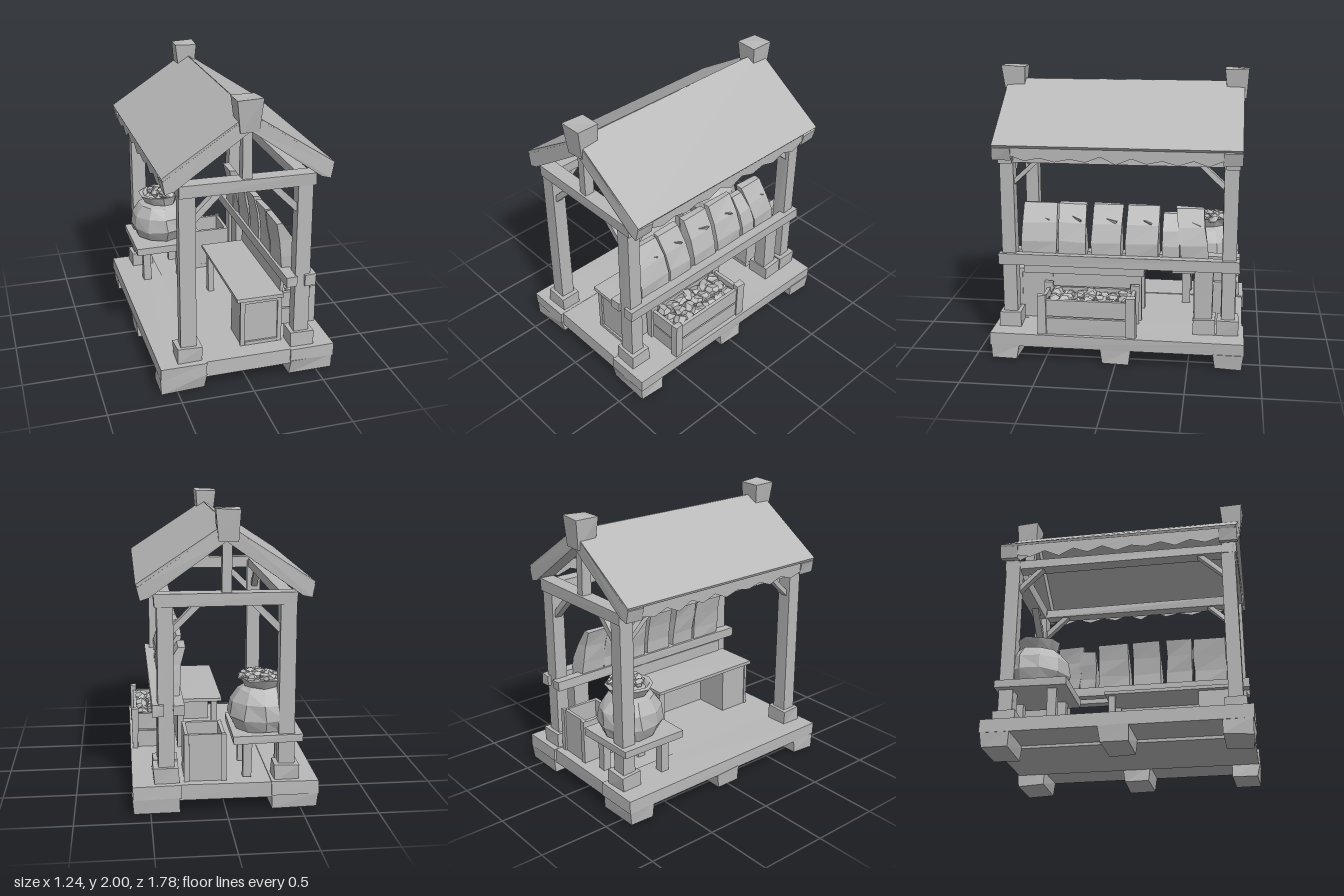
import * as THREE from 'three';

export function createModel() {
  const root = new THREE.Group();
  root.name = 'marketStall';
  const grey = new THREE.MeshStandardMaterial({ color: 0xb8b8b8 });
  grey.name = 'plainGrey';
  const greySheet = grey.clone();
  greySheet.name = 'plainGreySheet';
  greySheet.side = THREE.DoubleSide;

  let seed = 7;
  const rnd = () => (seed = (seed * 16807) % 2147483647) / 2147483647;

  // Flat-faced mesh from any geometry
  function add(name, geo, mat = grey) {
    const g = geo.index ? geo.toNonIndexed() : geo;
    g.computeVertexNormals();
    const m = new THREE.Mesh(g, mat);
    m.name = name;
    root.add(m);
    return m;
  }
  // Moves corners that share a place by the same small amount, for a hewn look
  function roughen(geo, amount) {
    const p = geo.attributes.position, moved = new Map();
    for (let i = 0; i < p.count; i++) {
      const k = [p.getX(i), p.getY(i), p.getZ(i)].map(v => v.toFixed(4)).join();
      if (!moved.has(k)) moved.set(k, [0, 0, 0].map(() => (rnd() - 0.5) * 2 * amount));
      const d = moved.get(k);
      p.setXYZ(i, p.getX(i) + d[0], p.getY(i) + d[1], p.getZ(i) + d[2]);
    }
    return geo;
  }
  // Box by its limits
  function box(name, x0, x1, y0, y1, z0, z1, rough = 0.004) {
    const g = new THREE.BoxGeometry(x1 - x0, y1 - y0, z1 - z0);
    g.translate((x0 + x1) / 2, (y0 + y1) / 2, (z0 + z1) / 2);
    return add(name, roughen(g, rough));
  }
  // Square timber between two points
  function beam(name, a, b, w, d) {
    const A = new THREE.Vector3(...a), B = new THREE.Vector3(...b);
    const dir = B.clone().sub(A);
    const g = roughen(new THREE.BoxGeometry(w, dir.length(), d), 0.004);
    g.applyQuaternion(new THREE.Quaternion().setFromUnitVectors(new THREE.Vector3(0, 1, 0), dir.normalize()));
    g.translate(...A.add(B).multiplyScalar(0.5).toArray());
    return add(name, g);
  }
  // Outline in x,y extruded along z
  function profile(name, pts, z0, z1) {
    const s = new THREE.Shape(pts.map(p => new THREE.Vector2(...p)));
    const g = new THREE.ExtrudeGeometry(s, { depth: z1 - z0, bevelEnabled: false });
    g.translate(0, 0, z0);
    return add(name, roughen(g, 0.003));
  }
  function rock(name, x, y, z, r) {
    const g = roughen(new THREE.DodecahedronGeometry(r, 0), r * 0.2);
    g.scale(1.15, 0.75, 1);
    g.rotateY(rnd() * 6);
    g.rotateX(rnd() - 0.5);
    g.translate(x, y, z);
    add(name, g);
  }

  // Platform and its feet
  box('floor', -0.31, 0.31, 0.09, 0.198, -0.87, 0.87);
  for (const s of [-1, 1]) {
    const a = s < 0 ? -0.615 : 0.3, b = s < 0 ? -0.3 : 0.615;
    box('platformRail', a, b, 0.11, 0.2, -0.885, 0.885);
    for (const z of [-0.78, 0, 0.78]) {
      const g = new THREE.BoxGeometry(0.31, 0.1, 0.2);
      const p = g.attributes.position;
      for (let i = 0; i < p.count; i++) if (p.getY(i) < 0) p.setZ(i, p.getZ(i) * 0.88);
      g.translate((a + b) / 2, 0.06, z);
      add('platformFoot', roughen(g, 0.008));
    }
  }

  // Posts, footings, tie beams and braces
  for (const sx of [-1, 1]) {
    const x = sx < 0 ? -0.405 : 0.392;
    for (const sz of [-1, 1]) {
      const z = sz * 0.768;
      box('post', x - 0.053, x + 0.053, 0.2, 1.44, z - 0.048, z + 0.048);
      box('postFooting', x - 0.083, x + 0.083, 0.195, 0.305, z - 0.075, z + 0.075, 0.006);
      beam('frontBrace', [x - sx * 0.04, 1.21, z], [x - sx * 0.23, 1.4, z], 0.042, 0.05);
      beam('sideBrace', [x, 1.23, z - sz * 0.03], [x, 1.4, z - sz * 0.21], 0.05, 0.035);
    }
    box('sideBeam', x - 0.045, x + 0.045, 1.385, 1.455, -0.8, 0.8);
  }
  box('counterPost', 0.34, 0.445, 0.2, 0.67, -0.66, -0.535);
  box('counterPostFooting', 0.31, 0.475, 0.195, 0.305, -0.68, -0.525);

  // Gable frames
  for (const sz of [-1, 1]) {
    const z = sz * 0.775;
    box('tieBeam', -0.46, 0.46, 1.38, 1.465, z - 0.05, z + 0.05);
    box('kingPost', -0.04, 0.022, 1.46, 1.82, z - 0.035, z + 0.035);
    for (const s of [-1, 1]) {
      const pts = [[0, 1.9], [0.57, 1.51], [0.55, 1.425], [0.49, 1.44], [0, 1.79]].map(([x, y]) => [x * s, y]);
      profile('rafter', pts, z - 0.063, z + 0.063);
    }
    const cap = new THREE.CylinderGeometry(0.115, 0.09, 0.21, 4);
    cap.rotateY(Math.PI / 4);
    cap.translate(-0.012, 1.893, sz * 0.785);
    add('ridgeCap', roughen(cap, 0.007));
  }

  // Cloth roof with a ragged hanging edge
  for (const s of [-1, 1]) {
    profile('roofSheet', [[0, 1.908], [0.573 * s, 1.53], [0.562 * s, 1.514], [0, 1.885]], -0.835, 0.835);
    const edge = new THREE.Shape();
    edge.moveTo(-0.72, 0.02);
    const n = 14;
    for (let i = 0; i <= n; i++) {
      edge.lineTo(-0.72 + 1.44 * i / n, (i % 2 ? -0.085 : -0.05) - 0.022 * rnd());
    }
    edge.lineTo(0.72, 0.02);
    const g = new THREE.ShapeGeometry(edge);
    g.rotateY(Math.PI / 2);
    g.translate(s * 0.555, 1.515, 0);
    add('roofFringe', g, greySheet);
  }

  // Counter rails
  box('counterInnerRail', 0.268, 0.345, 0.665, 0.735, -0.84, 0.84);
  box('counterOuterRail', 0.405, 0.48, 0.66, 0.74, -0.84, 0.84);

  // Leaning bags on the counter: z start, z end, top height, sideways lean
  const bags = [[0.44, 0.68, 1.065, 0], [0.23, 0.42, 1.07, 0.01], [-0.02, 0.19, 1.07, 0],
    [-0.28, -0.05, 1.07, 0], [-0.43, -0.31, 1.02, 0.01], [-0.63, -0.44, 1.06, 0.05]];
  for (const [z0, z1, top, lean] of bags) {
    const g = new THREE.BoxGeometry(1, 1, 1, 1, 3, 1);
    const p = g.attributes.position;
    for (let i = 0; i < p.count; i++) {
      const t = p.getY(i) + 0.5, back = 0.29 - 0.045 * t * t, deep = 0.125 * (1 - t) + 0.045 * t + 0.03 * Math.sin(t * Math.PI);
      p.setXYZ(i, back + (p.getX(i) + 0.5) * deep, 0.7 + t * (top - 0.7),
        (z0 + z1) / 2 + p.getZ(i) * (z1 - z0) + lean * t);
    }
    add('leaningBag', roughen(g, 0.006));
    // Torn flap high on the bag
    const flap = new THREE.ConeGeometry(0.028, 0.07, 3);
    flap.rotateX(1.1);
    flap.translate(0.345, top - 0.1, (z0 + z1) / 2 - 0.03 + lean * 0.8);
    add('tornFlap', roughen(flap, 0.008));
  }

  // Work table with cupboard end, legs and back board
  box('tableTop', -0.045, 0.285, 0.545, 0.57, -0.17, 0.75, 0.002);
  box('tableBackBoard', 0.275, 0.298, 0.545, 0.66, -0.17, 0.7, 0.002);
  box('cupboard', -0.01, 0.275, 0.2, 0.546, 0.49, 0.72, 0.002);
  for (const [x0, x1, y0, y1] of [[-0.018, 0.015, 0.2, 0.545], [0.25, 0.28, 0.2, 0.545],
    [0.015, 0.25, 0.2, 0.225], [0.015, 0.25, 0.52, 0.545]]) {
    box('cupboardFrame', x0, x1, y0, y1, 0.715, 0.735, 0.001);
  }
  for (const x of [-0.015, 0.23]) box('tableLeg', x, x + 0.045, 0.2, 0.546, -0.15, -0.1, 0.002);
  box('tableRearPanel', 0.255, 0.275, 0.2, 0.546, -0.12, 0.5, 0.002);

  // Crate of goods
  for (const x of [0.295, 0.56]) for (const z of [-0.14, 0.48]) {
    box('cratePost', x, x + 0.042, 0.2, 0.49, z, z + 0.068, 0.006);
  }
  for (const y of [0.2, 0.333]) {
    for (const x of [0.305, 0.565]) box('crateSideSlat', x, x + 0.022, y, y + 0.122, -0.1, 0.51, 0.003);
    for (const z of [-0.115, 0.5]) box('crateEndSlat', 0.31, 0.58, y, y + 0.122, z, z + 0.025, 0.003);
  }
  box('crateFill', 0.32, 0.57, 0.2, 0.38, -0.1, 0.5, 0.003);
  for (let i = 0; i < 7; i++) for (let j = 0; j < 3; j++) {
    rock('crateGoods', 0.365 + j * 0.08, 0.4 + rnd() * 0.03, -0.04 + i * 0.08, 0.05);
  }

  // Open bin at the back
  box('binBottom', 0, 0.27, 0.2, 0.23, -0.8, -0.52, 0.002);
  for (const x of [0, 0.245]) box('binSide', x, x + 0.025, 0.2, 0.52, -0.8, -0.52, 0.002);
  for (const z of [-0.81, -0.545]) box('binEnd', 0, 0.27, 0.2, 0.52, z, z + 0.025, 0.002);
  for (const x of [-0.005, 0.24]) box('binCorner', x, x + 0.035, 0.2, 0.525, -0.822, -0.795, 0.002);

  // Low bench
  box('benchTop', -0.51, -0.05, 0.457, 0.512, -0.84, -0.345);
  for (const x of [-0.45, -0.18]) for (const z of [-0.78, -0.48]) {
    box('benchLeg', x, x + 0.06, 0.2, 0.46, z, z + 0.06);
  }

  // Full sack on the bench
  const outline = [[0, 0.51], [0.19, 0.512], [0.232, 0.6], [0.218, 0.7], [0.165, 0.775], [0.128, 0.795],
    [0.165, 0.86], [0.14, 0.86], [0.11, 0.83], [0, 0.83]].map(p => new THREE.Vector2(...p));
  const sack = new THREE.LatheGeometry(outline, 10);
  sack.translate(-0.265, 0, -0.61);
  add('sack', roughen(sack, 0.008), greySheet);
  for (let i = 0; i < 14; i++) {
    const a = i * 2.4, r = 0.033 * Math.sqrt(i);
    rock('sackGoods', -0.235 + Math.cos(a) * r * 0.9, 0.88 - r * 0.15, -0.61 + Math.sin(a) * r, 0.036);
  }
  return root;
}
